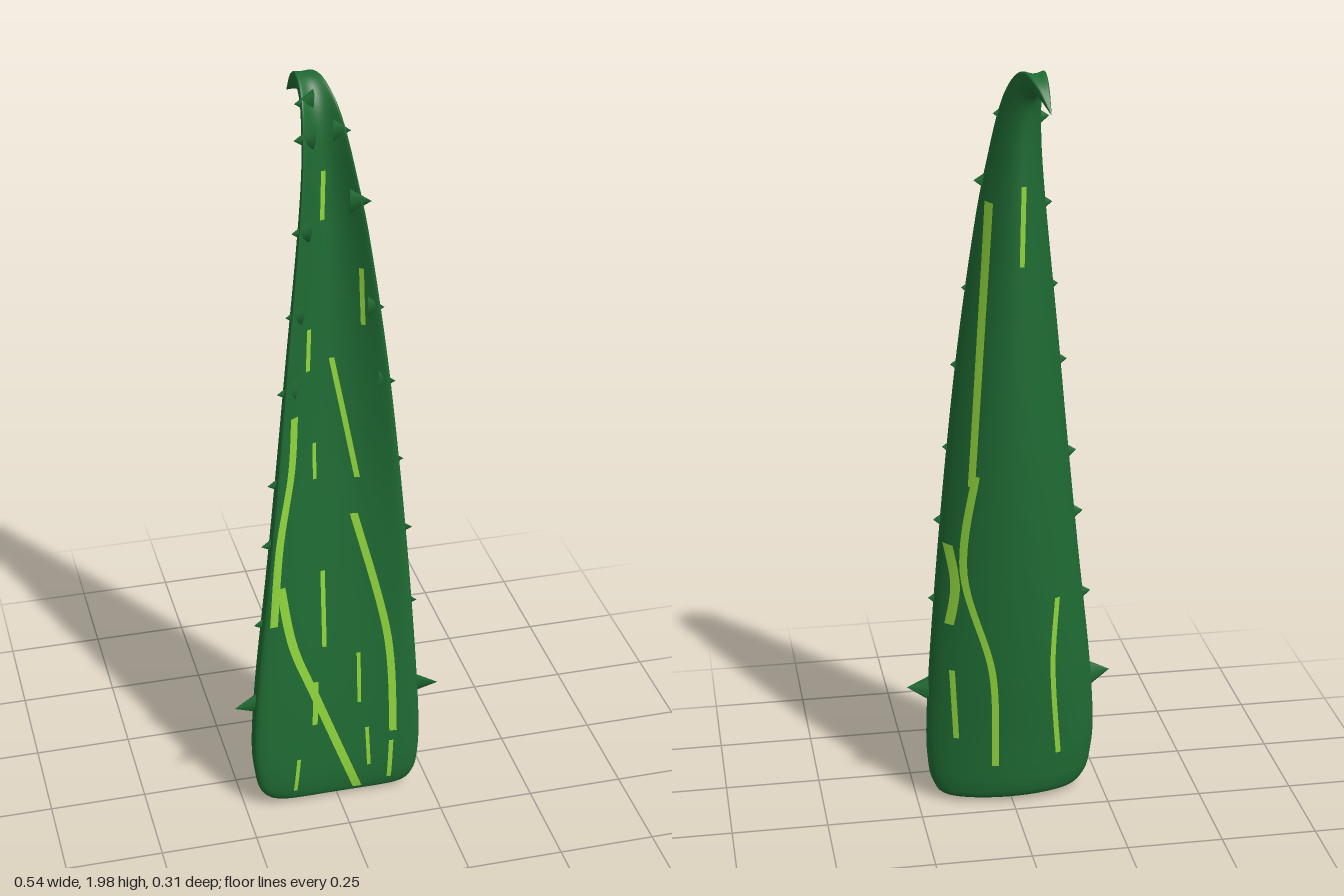
import * as THREE from 'three';

// Leaf stations: y, z (core), centre x, half width, margin depth, half thickness, tilt
const ROWS = [
  [0.006, 0.09, 0.01, 0.13, 0.01, 0.025, 0],
  [0.018, 0.088, 0.005, 0.18, 0.02, 0.045, 0],
  [0.05, 0.086, 0, 0.207, 0.03, 0.054, 0],
  [0.1, 0.084, -0.002, 0.219, 0.035, 0.058, 0],
  [0.2, 0.078, -0.004, 0.225, 0.04, 0.06, 0],
  [0.4, 0.062, -0.002, 0.213, 0.05, 0.063, 0],
  [0.7, 0.038, 0.003, 0.185, 0.068, 0.058, 0],
  [1.0, 0.018, 0.005, 0.156, 0.08, 0.049, 0],
  [1.3, 0.008, 0.003, 0.125, 0.083, 0.04, 0],
  [1.6, 0.002, -0.002, 0.088, 0.075, 0.032, 0.03],
  [1.76, 0, -0.009, 0.065, 0.06, 0.027, 0.12],
  [1.86, -0.004, -0.017, 0.051, 0.044, 0.026, 0.35],
  [1.92, -0.02, -0.025, 0.039, 0.03, 0.026, 0.75],
  [1.95, -0.052, -0.036, 0.028, 0.02, 0.026, 1.4],
  [1.94, -0.1, -0.046, 0.016, 0.008, 0.018, 2.0],
  [1.9, -0.155, -0.057, 0.001, 0, 0.001, 2.3],
];
const LAST = ROWS.length - 1;
const spline = new THREE.CubicInterpolant(ROWS.map((_, i) => i), ROWS.flat(), 7);
const station = (v) => Array.from(spline.evaluate(v));

// Point on the leaf: v runs up the leaf, a runs around it (0 = left margin, PI/2 = front)
function surface(v, a) {
  const [y, z, cx, w, edge, thick, tilt] = station(v);
  const c = Math.cos(a), s = Math.sin(a);
  const d = edge * c * c + thick * Math.sign(s) * Math.pow(Math.abs(s), 0.7);
  return new THREE.Vector3(cx + w * c, y + d * Math.sin(tilt), z + d * Math.cos(tilt));
}

function normalAt(v, a) {
  const e = 0.01;
  const around = surface(v, a + e).sub(surface(v, a - e));
  const along = surface(v + e, a).sub(surface(v - e, a));
  return along.cross(around).normalize();
}

// Find the station parameter for a height below the hook
function heightToV(y) {
  let lo = 0, hi = 12;
  for (let i = 0; i < 30; i++) {
    const mid = (lo + hi) / 2;
    if (station(mid)[0] < y) lo = mid; else hi = mid;
  }
  return lo;
}

function grid(points, rows, cols) {
  const index = [];
  for (let i = 0; i < rows - 1; i++) for (let j = 0; j < cols - 1; j++) {
    const p = i * cols + j;
    index.push(p, p + cols, p + 1, p + 1, p + cols, p + cols + 1);
  }
  const g = new THREE.BufferGeometry().setFromPoints(points);
  g.setIndex(index);
  return g;
}

// Closed loops swept up the leaf, with a pole at each end
function leafGeometry() {
  const N = 48, M = 110, pts = [];
  for (let i = 0; i <= M; i++) for (let j = 0; j < N; j++) pts.push(surface(i / M * LAST, j / N * Math.PI * 2));
  const index = [];
  for (let i = 0; i < M; i++) for (let j = 0; j < N; j++) {
    const a = i * N + j, b = i * N + (j + 1) % N;
    index.push(a, a + N, b, b, a + N, b + N);
  }
  const [, z0, x0] = ROWS[0], [y1, z1, x1] = ROWS[LAST];
  const base = pts.push(new THREE.Vector3(x0, 0, z0 + 0.005)) - 1;
  const tip = pts.push(new THREE.Vector3(x1, y1 - 0.002, z1 - 0.002)) - 1;
  for (let j = 0; j < N; j++) {
    const k = (j + 1) % N;
    index.push(base, j, k, tip, M * N + k, M * N + j);
  }
  const g = new THREE.BufferGeometry().setFromPoints(pts);
  g.setIndex(index);
  g.computeVertexNormals();
  return g;
}

// Thin ribbon lying on the front (side 1) or back (side -1), following x, y points
function streakGeometry(path, side, width) {
  const curve = new THREE.SplineCurve(path.map(([x, y]) => new THREE.Vector2(x, y)));
  const n = 30, cols = 4, pts = [];
  for (let i = 0; i <= n; i++) {
    const p = curve.getPoint(i / n), v = heightToV(p.y), [, , cx, w] = station(v);
    for (let j = 0; j < cols; j++) {
      const x = p.x + (j / (cols - 1) - 0.5) * width;
      const a = side * Math.acos(THREE.MathUtils.clamp((x - cx) / w, -0.98, 0.98));
      pts.push(surface(v, a).addScaledVector(normalAt(v, a), 0.0025));
    }
  }
  const g = grid(pts, n + 1, cols);
  g.computeVertexNormals();
  // Shade the ribbon like the skin below it
  const nor = g.attributes.normal;
  for (let i = 0; i < nor.count; i++) {
    if (nor.getZ(i) * side < 0) nor.setXYZ(i, -nor.getX(i), -nor.getY(i), -nor.getZ(i));
  }
  const idx = g.index.array;
  if (side > 0) for (let i = 0; i < idx.length; i += 3) [idx[i], idx[i + 1]] = [idx[i + 1], idx[i]];
  return g;
}

const FRONT_STREAKS = [
  [0.024, [0.05, 0.03], [-0.06, 0.33], [-0.12, 0.5], [-0.15, 0.68]],
  [0.02, [-0.17, 0.57], [-0.15, 0.8], [-0.115, 1.0], [-0.105, 1.15]],
  [0.02, [0.145, 0.2], [0.13, 0.5], [0.05, 0.85]],
  [0.014, [0.06, 0.95], [0.03, 1.12], [0, 1.28]],
  [0.012, [-0.065, 1.26], [-0.06, 1.37]],
  [0.012, [-0.02, 1.64], [-0.015, 1.76]],
  [0.012, [-0.035, 0.48], [-0.035, 0.7]],
  [0.014, [-0.065, 0.25], [-0.06, 0.38]],
  [0.01, [-0.12, 0.05], [-0.11, 0.15]],
  [0.01, [0.08, 0.1], [0.075, 0.22]],
  [0.012, [0.135, 0.05], [0.14, 0.17]],
  [0.01, [0.055, 0.3], [0.055, 0.45]],
  [0.01, [-0.05, 0.96], [-0.05, 1.06]],
  [0.01, [0.075, 1.37], [0.07, 1.52]],
];
const BACK_STREAKS = [
  [0.018, [0.05, 0.12], [0.06, 0.4], [0.13, 0.68], [0.1, 0.95]],
  [0.016, [0.11, 0.92], [0.085, 1.3], [0.06, 1.65]],
  [0.022, [0.165, 0.53], [0.15, 0.64], [0.165, 0.75]],
  [0.014, [0.15, 0.2], [0.16, 0.4]],
  [0.014, [-0.12, 0.14], [-0.1, 0.4], [-0.11, 0.6]],
  [0.012, [-0.01, 1.5], [-0.015, 1.7]],
];
// Marginal teeth: height up the leaf and how far each sticks out
const LEFT_TEETH = [[0.32, 0.055], [0.58, 0.015], [0.8, 0.018], [1.0, 0.012], [1.22, 0.013], [1.42, 0.01], [1.69, 0.022], [1.85, 0.012]];
const RIGHT_TEETH = [[0.33, 0.055], [0.57, 0.022], [0.8, 0.024], [0.97, 0.022], [1.22, 0.018], [1.42, 0.014], [1.63, 0.018], [1.84, 0.022], [1.91, 0.016]];

export function createModel() {
  const model = new THREE.Group();
  model.name = 'succulentLeaf';
  const green = new THREE.MeshStandardMaterial({ color: 0x1f6b33 });
  const lime = new THREE.MeshStandardMaterial({ color: 0x8fd43c });
  const add = (geometry, material, name) => {
    const mesh = new THREE.Mesh(geometry, material);
    mesh.name = name;
    model.add(mesh);
    return mesh;
  };

  add(leafGeometry(), green, 'leafBlade');

  // Lime streaks
  for (const [width, ...path] of FRONT_STREAKS) add(streakGeometry(path, 1, width), lime, 'frontStreak');
  for (const [width, ...path] of BACK_STREAKS) add(streakGeometry(path, -1, width), lime, 'backStreak');

  // Flattened thorns pointing outward from both margins
  const addTeeth = (list, sign, name) => list.forEach(([y, out]) => {
    const root = 0.03, length = out + root;
    const geo = new THREE.ConeGeometry(0.028 + out * 0.35, length, 8);
    geo.scale(1, 1, 0.35);
    geo.translate(0, length / 2 - root, 0);
    const tooth = add(geo, green, name);
    tooth.position.copy(surface(heightToV(y), sign > 0 ? 0 : Math.PI));
    const direction = new THREE.Vector3(sign, 0, 0.22).normalize();
    tooth.quaternion.setFromUnitVectors(new THREE.Vector3(0, 1, 0), direction);
  });
  addTeeth(LEFT_TEETH, 1, 'leftTooth');
  addTeeth(RIGHT_TEETH, -1, 'rightTooth');
  return model;
}
